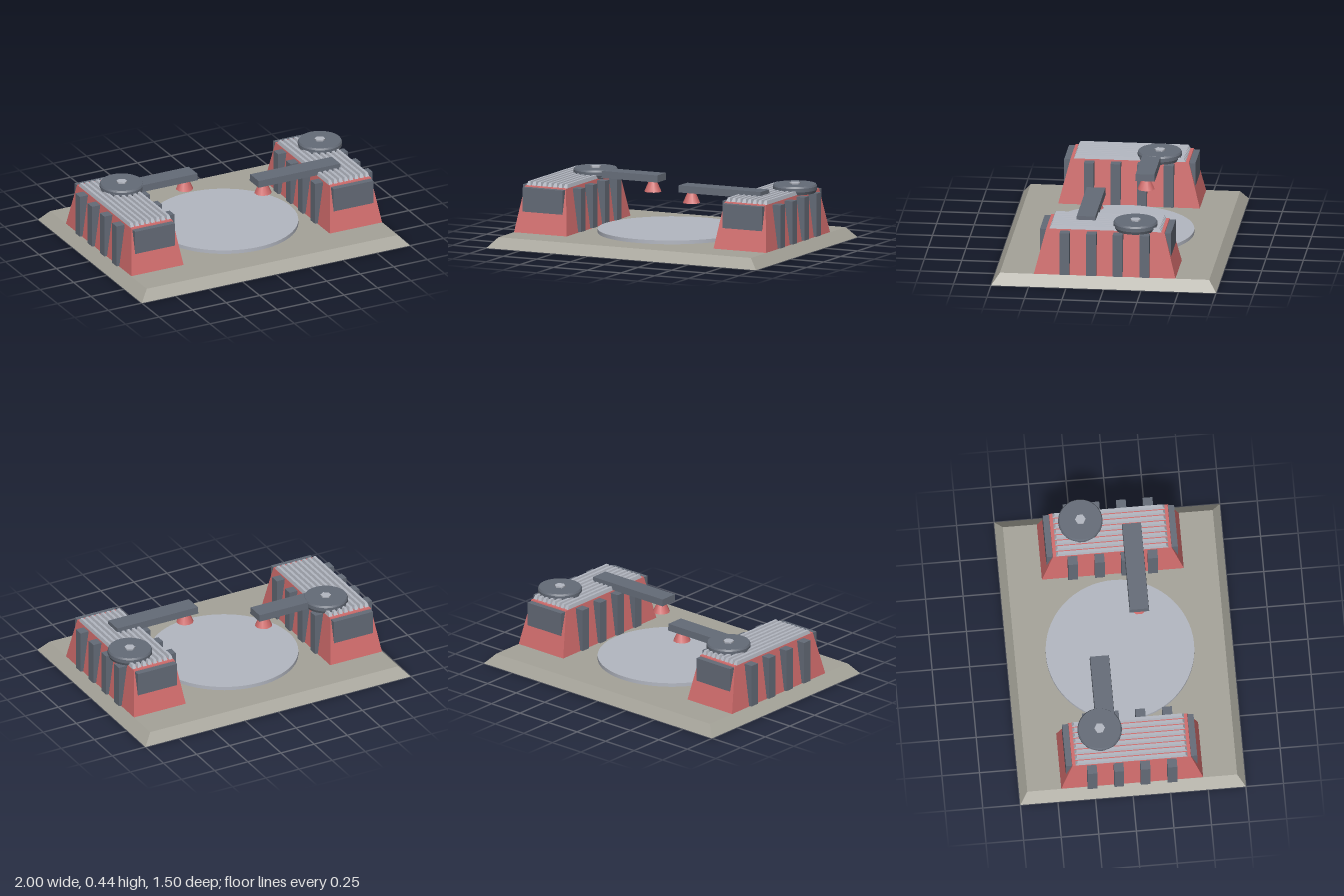
import * as THREE from 'three';

const material = (name, color) => {
  const m = new THREE.MeshStandardMaterial({ color });
  m.name = name;
  return m;
};

// Box whose top face is scaled to its own width and depth; stands on y0
function taperedBox(w0, d0, w1, d1, y0, y1) {
  const g = new THREE.BoxGeometry(1, 1, 1);
  const p = g.attributes.position;
  for (let i = 0; i < p.count; i++) {
    const top = p.getY(i) > 0;
    p.setXYZ(i, p.getX(i) * (top ? w1 : w0), top ? y1 : y0, p.getZ(i) * (top ? d1 : d0));
  }
  g.computeVertexNormals();
  return g;
}

export function createModel() {
  const stone = material('stone grey', 0xa5a399);
  const red = material('muted red', 0xd06c6c);
  const slate = material('slate', 0x646b77);
  const silver = material('light silver', 0xb3b7c1);

  const model = new THREE.Group();
  model.name = 'landingPlatform';
  const add = (parent, name, geometry, mat, x = 0, y = 0, z = 0) => {
    const mesh = new THREE.Mesh(geometry, mat);
    mesh.name = name;
    mesh.position.set(x, y, z);
    parent.add(mesh);
    return mesh;
  };

  // Bevelled base and round pad
  add(model, 'base', taperedBox(2, 1.5, 1.872, 1.396, 0, 0.07), stone);
  add(model, 'pad', new THREE.CylinderGeometry(0.493, 0.493, 0.03, 64), silver, 0, 0.08, 0);

  // Shared geometries
  const body = taperedBox(0.39, 0.944, 0.305, 0.788, 0.07, 0.375);
  const fin = new THREE.BoxGeometry(0.43, 0.29, 0.065);
  const panel = new THREE.BoxGeometry(0.295, 0.168, 0.08);
  const slat = taperedBox(0.03, 0.75, 0.018, 0.72, 0.372, 0.4);
  const profile = [[0, 0.372], [0.138, 0.372], [0.138, 0.372], [0.147, 0.392], [0.147, 0.392],
    [0.147, 0.416], [0.147, 0.416], [0.14, 0.428], [0.14, 0.428], [0, 0.428]]
    .map(([r, y]) => new THREE.Vector2(r, y));
  // Drop repeated points and keep hard steps between the profile bands
  const turntable = new THREE.Group();
  turntable.name = 'turntable';
  for (let i = 0; i < profile.length - 1; i++) {
    if (profile[i].equals(profile[i + 1])) continue;
    add(turntable, 'turntableBand', new THREE.LatheGeometry([profile[i], profile[i + 1]], 40), slate);
  }
  const arm = taperedBox(0.612, 0.13, 0.608, 0.124, 0.379, 0.426);
  const nozzle = new THREE.CylinderGeometry(0.025, 0.058, 0.075, 10);
  const bolt = new THREE.CylinderGeometry(0.036, 0.036, 0.014, 6);

  // Two towers: side, turntable x, arm z
  for (const [side, discX, armZ] of [[-1, -0.663, -0.15], [1, 0.815, 0.143]]) {
    const tower = new THREE.Group();
    tower.name = side < 0 ? 'rightTower' : 'leftTower';
    tower.position.x = side * 0.74;
    model.add(tower);

    add(tower, 'towerBody', body, red);
    for (const z of [-0.266, -0.088, 0.088, 0.266]) add(tower, 'sideFin', fin, slate, 0, 0.22, z);
    for (const s of [-1, 1]) add(tower, 'endPanel', panel, slate, 0, 0.284, s * 0.397);
    for (let i = 0; i < 8; i++) add(tower, 'roofSlat', slat, silver, (i - 3.5) * 0.039);

    // Turntable with its bolt, arm and hanging nozzle
    const disc = turntable.clone();
    disc.position.set(discX, 0, -0.193);
    model.add(disc);
    add(disc, 'turntableBolt', bolt, silver, 0, 0.431, 0);
    add(model, 'arm', arm, slate, side * 0.457, 0, armZ);
    add(model, 'nozzle', nozzle, red, side * 0.217, 0.343, armZ);
  }
  return model;
}
